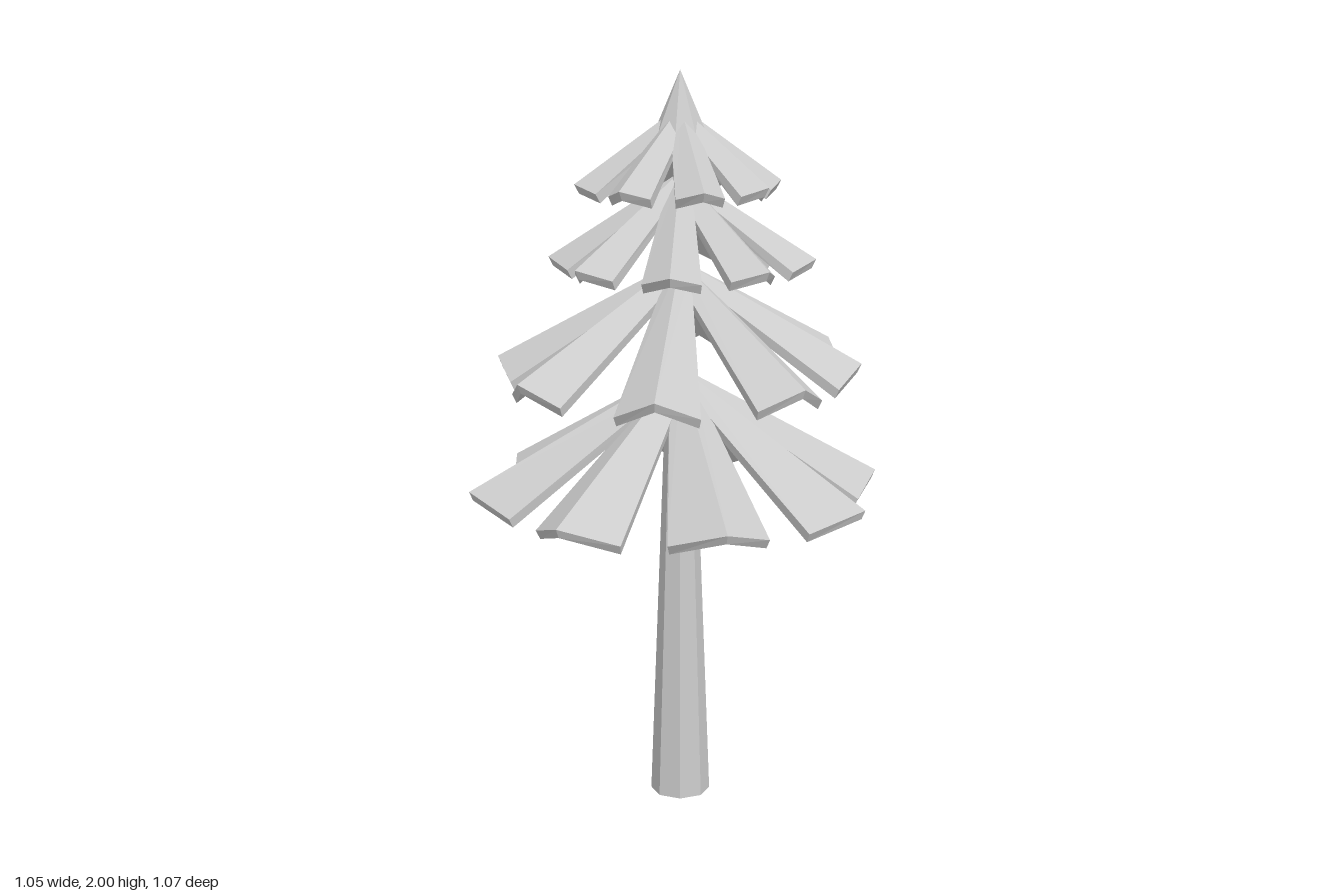
import * as THREE from 'three';

const material = new THREE.MeshStandardMaterial({ color: 0xcccccc, flatShading: true });

// Folded, roof-like branch pointing along +x: a narrow V section at the trunk, a wide one at the end
function branchGeometry({ apexY, tipY, tipR, cornerY, cornerR, halfWidth }) {
  const slope = (apexY - tipY) / tipR;
  const t = 0.024;
  const dx = t * slope * 0.8; // lower edge is set back so the end is cut square to the slope
  const w = 0.03, drop = 0.024, u = 0.01;
  const inner = [
    [u, apexY - drop, -w], [u, apexY, 0], [u, apexY - drop, w],
    [u, apexY - drop - t, w * 0.9], [u, apexY - t, 0], [u, apexY - drop - t, -w * 0.9],
  ];
  const outer = [
    [cornerR, cornerY, -halfWidth], [tipR, tipY, 0], [cornerR, cornerY, halfWidth],
    [cornerR - dx, cornerY - t, halfWidth * 0.95], [tipR - dx, tipY - t, 0],
    [cornerR - dx, cornerY - t, -halfWidth * 0.95],
  ];
  const pos = [];
  const quad = (a, b, c, d) => pos.push(...a, ...b, ...c, ...a, ...c, ...d);
  for (let i = 0; i < 6; i++) {
    const j = (i + 1) % 6;
    quad(inner[i], inner[j], outer[j], outer[i]);
  }
  for (const [a, b, c, d] of [[0, 1, 4, 5], [1, 2, 3, 4]]) {
    quad(outer[a], outer[b], outer[c], outer[d]);
    quad(inner[d], inner[c], inner[b], inner[a]);
  }
  const geo = new THREE.BufferGeometry();
  geo.setAttribute('position', new THREE.Float32BufferAttribute(pos, 3));
  geo.computeVertexNormals();
  return geo;
}

// Tiers from bottom to top; turn is the angle of the first branch in degrees from +x towards +z,
// lengths are the radii of the eight branch tips
const tiers = [
  { name: 'bottomBranches', turn: 22.7, apexY: 1.21, tipY: 0.9, cornerY: 0.855, inset: 0.09, halfWidth: 0.132,
    lengths: [0.548, 0.57, 0.576, 0.559, 0.545, 0.546, 0.556, 0.566] },
  { name: 'lowerMiddleBranches', turn: -3.5, apexY: 1.5, tipY: 1.235, cornerY: 1.185, inset: 0.055, halfWidth: 0.108,
    lengths: [0.501, 0.548, 0.524, 0.498, 0.527, 0.502, 0.541, 0.485] },
  { name: 'upperMiddleBranches', turn: -6, apexY: 1.73, tipY: 1.51, cornerY: 1.485, inset: 0.06, halfWidth: 0.076,
    lengths: [0.344, 0.366, 0.353, 0.352, 0.365, 0.364, 0.323, 0.36] },
  { name: 'topBranches', turn: 22.5, apexY: 1.9, tipY: 1.71, cornerY: 1.69, inset: 0.045, halfWidth: 0.064,
    lengths: [0.28, 0.285, 0.282, 0.29, 0.275, 0.27, 0.275, 0.27] },
];

export function createModel() {
  const tree = new THREE.Group();
  tree.name = 'pineTree';

  const add = (name, geometry, parent = tree) => {
    const mesh = new THREE.Mesh(geometry, material);
    mesh.name = name;
    parent.add(mesh);
    return mesh;
  };

  // Tapered eight-sided trunk
  const trunk = add('trunk', new THREE.CylinderGeometry(0.012, 0.082, 1.88, 8));
  trunk.position.y = 0.94;
  trunk.rotation.y = 0.17;

  // Pointed crown
  const crown = add('crown', new THREE.ConeGeometry(0.095, 0.22, 8));
  crown.position.y = 1.89;

  // Rings of branches
  for (const { name, turn, lengths, inset, ...shape } of tiers) {
    const ring = new THREE.Group();
    ring.name = name;
    tree.add(ring);
    lengths.forEach((tipR, i) => {
      const geo = branchGeometry({ ...shape, tipR, cornerR: tipR - inset });
      add('branch', geo, ring).rotation.y = -THREE.MathUtils.degToRad(turn + i * 45);
    });
  }
  return tree;
}
